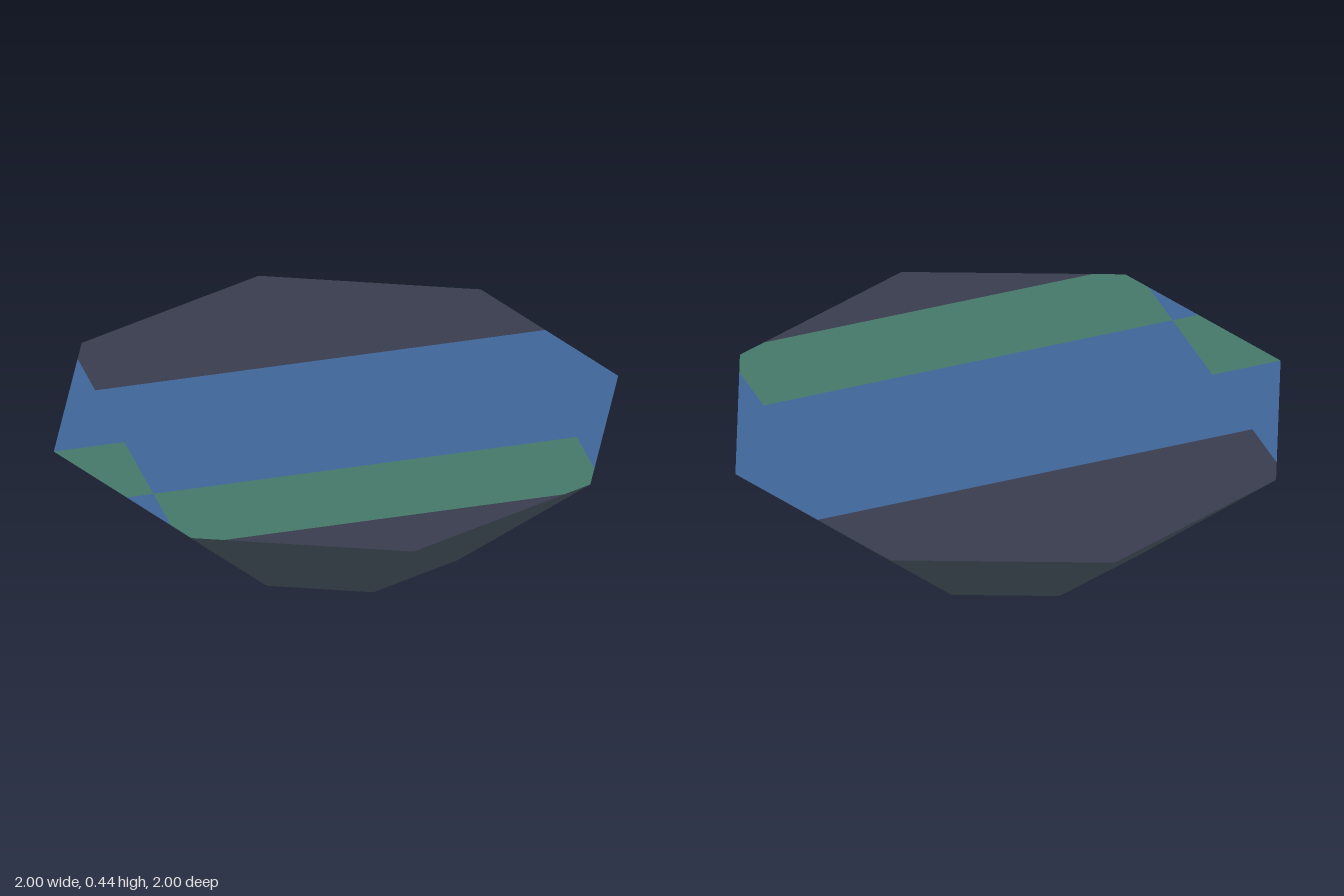
import * as THREE from 'three';

const SIDES = 8, TOP = 1, BASE = 0.48, HEIGHT = 0.44;

const mat = (name, color) => {
  const m = new THREE.MeshStandardMaterial({ color });
  m.name = name;
  return m;
};

// Keep the part of a convex polygon where sign * (p[axis] - limit) >= 0
function clip(points, axis, limit, sign) {
  const out = [];
  points.forEach((a, i) => {
    const b = points[(i + 1) % points.length];
    const da = sign * (a[axis] - limit), db = sign * (b[axis] - limit);
    if (da >= 0) out.push(a);
    if (da * db < 0) out.push(a.clone().lerp(b, da / (da - db)));
  });
  return out;
}

// Horizontal piece of the octagon inside the rectangle x0..x1, z0..z1
function panel(name, material, radius, y, up, [x0, x1, z0, z1]) {
  let pts = [];
  for (let i = 0; i < SIDES; i++) {
    const a = (i / SIDES) * Math.PI * 2;
    pts.push(new THREE.Vector2(Math.cos(a), Math.sin(a)));
  }
  pts = clip(clip(pts, 'x', x0, 1), 'x', x1, -1);
  pts = clip(clip(pts, 'y', z0, 1), 'y', z1, -1);
  const dir = up ? 1 : -1;
  const shape = new THREE.Shape(pts.map((p) => new THREE.Vector2(p.x * radius, -dir * p.y * radius)));
  const geo = new THREE.ShapeGeometry(shape).rotateX((-dir * Math.PI) / 2).translate(0, y, 0);
  const mesh = new THREE.Mesh(geo, material);
  mesh.name = name;
  return mesh;
}

export function createModel() {
  const group = new THREE.Group();
  group.name = 'facetedBowl';
  const slate = mat('slate', 0x54616f);
  const navy = mat('navy', 0x383c4d);
  const blue = mat('blue', 0x3f6698);
  const green = mat('green', 0x457868);

  // Sloping eight-sided wall
  const wallGeo = new THREE.CylinderGeometry(TOP, BASE, HEIGHT, SIDES, 1, true).toNonIndexed();
  wallGeo.computeVertexNormals();
  const wall = new THREE.Mesh(wallGeo, slate);
  wall.name = 'wall';
  wall.position.y = HEIGHT / 2;
  group.add(wall);

  // Top face, a patchwork of coloured bands
  const n = 0.375, w = 0.75;
  [
    ['topBackBand', navy, [-w, 1, -1, -n]],
    ['topBackRightCorner', blue, [-1, -w, -1, -n]],
    ['topMiddleBand', blue, [-w, 1, -n, n]],
    ['topMiddleRightEnd', blue, [-1, -w, -n, 0]],
    ['topRightPatch', green, [-1, -w, 0, n]],
    ['topGreenBand', green, [-w, w, n, w]],
    ['topFrontRightCorner', blue, [-1, -w, n, w]],
    ['topFrontLeftCorner', blue, [w, 1, n, w]],
    ['topFrontTip', navy, [-1, 1, w, 1]],
  ].forEach(([name, m, rect]) => group.add(panel(name, m, TOP, HEIGHT, true, rect)));

  // Underside
  [
    ['baseFrontHalf', navy, [-1, 1, 0, 1]],
    ['baseBackBand', slate, [-1, 1, -w, 0]],
    ['baseBackTip', navy, [-1, n, -1, -w]],
    ['baseBackLeftTip', slate, [n, 1, -1, -w]],
  ].forEach(([name, m, rect]) => group.add(panel(name, m, BASE, 0, false, rect)));

  return group;
}
